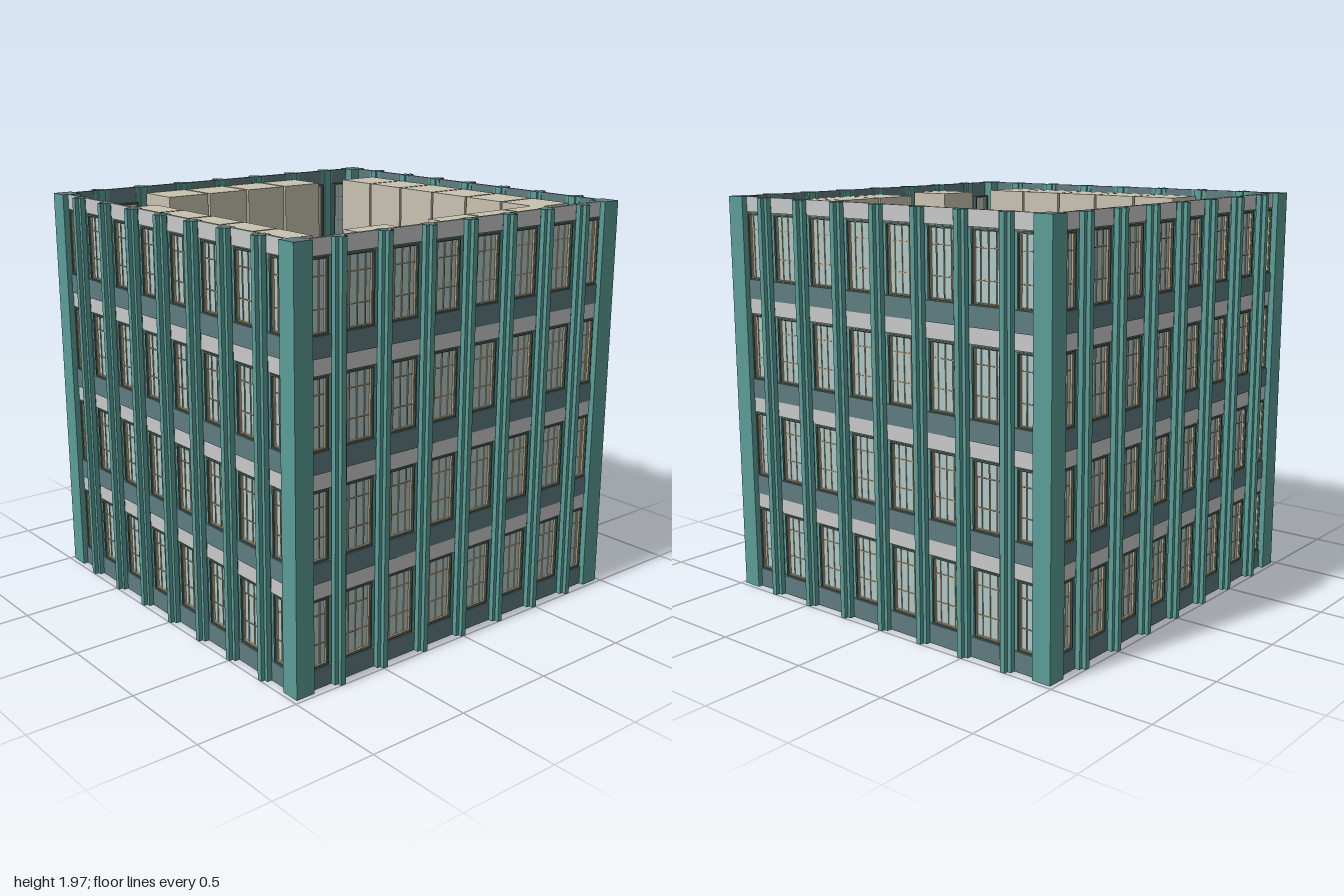
import * as THREE from 'three';

const mat = (name, color) => {
  const m = new THREE.MeshStandardMaterial({ color });
  m.name = name;
  return m;
};

const H = 1.97, FLOOR = H / 4, BAY = 0.246;

export function createModel() {
  const teal = mat('teal', 0x5b9d97);
  const slate = mat('slate', 0x5f7c7f);
  const dark = mat('dark frame', 0x47615f);
  const grey = mat('light grey', 0xc9c9ca);
  const glass = mat('glass', 0xadc8c8);
  const tan = mat('tan', 0xc4a67c);
  const beige = mat('beige', 0xc8c2b0);
  const capped = [teal, teal, slate, slate, teal, teal];

  const model = new THREE.Group();
  model.name = 'building';

  // box given by its limits on each axis
  const box = (parent, name, material, x0, x1, y0, y1, z0, z1) => {
    const mesh = new THREE.Mesh(new THREE.BoxGeometry(x1 - x0, y1 - y0, z1 - z0), material);
    mesh.position.set((x0 + x1) / 2, (y0 + y1) / 2, (z0 + z1) / 2);
    mesh.name = name;
    parent.add(mesh);
    return mesh;
  };

  // rectangular ring with an opening, extruded towards +z
  const ring = (parent, name, material, x0, x1, y0, y1, t, z, depth) => {
    const s = new THREE.Shape();
    s.moveTo(x0, y0).lineTo(x1, y0).lineTo(x1, y1).lineTo(x0, y1).closePath();
    const h = new THREE.Path();
    h.moveTo(x0 + t, y0 + t).lineTo(x0 + t, y1 - t).lineTo(x1 - t, y1 - t).lineTo(x1 - t, y0 + t).closePath();
    s.holes.push(h);
    const mesh = new THREE.Mesh(new THREE.ExtrudeGeometry(s, { depth, bevelEnabled: false }), material);
    mesh.position.z = z;
    mesh.name = name;
    parent.add(mesh);
  };

  const addWindow = (parent, cx, y, x0, x1) => {
    const g = new THREE.Group();
    g.name = 'window';
    const y0 = y + 0.092, y1 = y + 0.415;
    ring(g, 'windowFrame', dark, x0, x1, y0, y1, 0.008, 0.915, 0.035);
    ring(g, 'windowTrim', tan, x0 + 0.008, x1 - 0.008, y0 + 0.008, y1 - 0.008, 0.004, 0.922, 0.02);
    box(g, 'pane', glass, x0 + 0.008, x1 - 0.008, y0 + 0.008, y1 - 0.008, 0.926, 0.932);
    // glazing bars
    for (const dx of [-0.043, 0, 0.043]) {
      const x = cx + dx;
      if (x > x0 + 0.012 && x < x1 - 0.012)
        box(g, 'uprightBar', tan, x - 0.0025, x + 0.0025, y0 + 0.01, y1 - 0.01, 0.924, 0.936);
    }
    for (const f of [0.33, 0.75]) {
      const by = y0 + f * (y1 - y0);
      box(g, 'crossBar', tan, x0 + 0.01, x1 - 0.01, by - 0.002, by + 0.002, 0.924, 0.936);
    }
    parent.add(g);
  };

  // one facade, facing +z
  const addFacade = (name, angle) => {
    const f = new THREE.Group();
    f.name = name;
    // stepped pilasters
    for (let i = -3; i <= 3; i++) {
      const x = i * BAY;
      box(f, 'pilasterBack', capped, x - 0.042, x + 0.042, 0, H, 0.935, 0.944);
      box(f, 'pilasterNeck', capped, x - 0.02, x + 0.02, 0, H, 0.925, 0.957);
      box(f, 'pilaster', capped, x - 0.031, x + 0.031, 0, H, 0.955, 0.98);
      box(f, 'pilasterRib', capped, x - 0.013, x + 0.013, 0, H, 0.98, 1.0);
    }
    for (let k = 0; k < 4; k++) {
      const y = k * FLOOR;
      // horizontal wall bands
      box(f, 'spandrel', slate, -0.89, 0.89, y, y + 0.094, 0.937, 0.956);
      box(f, 'header', slate, -0.89, 0.89, y + 0.41, y + FLOOR, 0.937, 0.946);
      for (let i = -4; i < 4; i++) {
        const cx = (i + 0.5) * BAY;
        const x0 = Math.max(cx - 0.0825, -0.887), x1 = Math.min(cx + 0.0825, 0.887);
        addWindow(f, cx, y, x0, x1);
        box(f, 'headerPanel', grey, Math.max(cx - 0.095, -0.887), Math.min(cx + 0.095, 0.887),
          y + 0.42, y + FLOOR, 0.946, 0.952);
      }
    }
    f.rotation.y = angle;
    model.add(f);
  };
  ['frontFacade', 'leftFacade', 'backFacade', 'rightFacade'].forEach((n, i) => addFacade(n, i * Math.PI / 2));

  // corner posts
  for (const sx of [-1, 1]) for (const sz of [-1, 1]) {
    const post = box(model, 'cornerPost', capped, -0.048, 0.048, 0, H, -0.048, 0.048);
    post.position.set(sx * 0.932, H / 2, sz * 0.932);
  }

  // rooms behind the facades; empty slots listed as floor, side, index
  const empty = new Set(['3 left 0', '3 back 0', '3 back 5', '3 front 0', '3 front 2',
    '2 right 5', '0 front 1', '0 front 2']);
  for (let k = 0; k < 4; k++) {
    const y0 = k * FLOOR + 0.03, y1 = k * FLOOR + 0.46;
    for (let i = 0; i < 6; i++) {
      const a = (i - 3) * BAY + 0.006, b = a + BAY - 0.012;
      const add = (side, ...r) => {
        if (!empty.has(`${k} ${side} ${i}`)) box(model, 'room', beige, r[0], r[1], y0, y1, r[2], r[3]);
      };
      add('front', a, b, 0.69, 0.914);
      add('back', a, b, -0.914, -0.69);
      add('right', 0.69, 0.914, a, b);
      add('left', -0.914, -0.69, a, b);
    }
  }
  return model;
}
